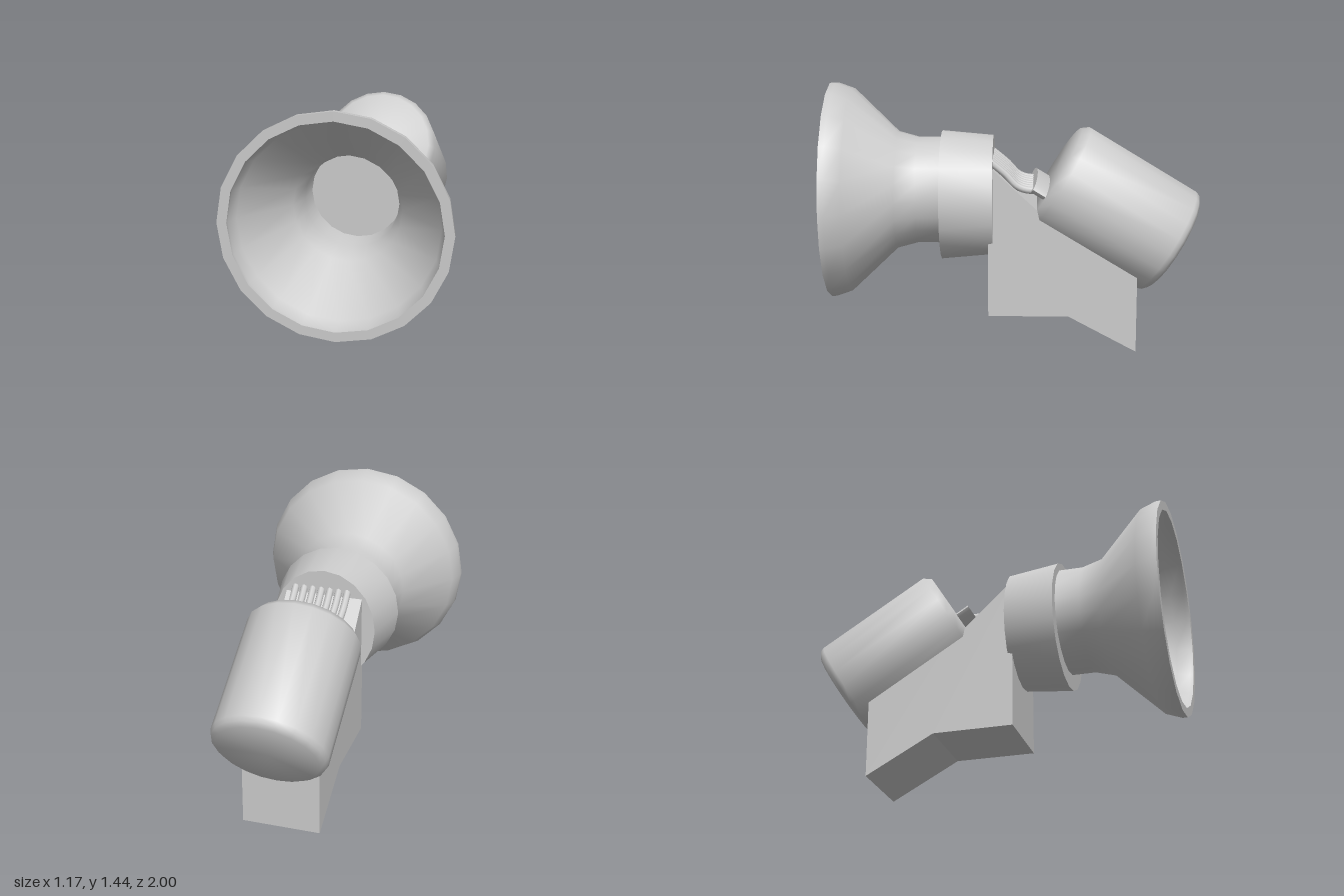
import * as THREE from 'three';
import { toCreasedNormals } from 'three/addons/utils/BufferGeometryUtils.js';

const SIDES = 20;
const material = new THREE.MeshStandardMaterial({ color: 0xcccccc });

function part(name, geometry, parent) {
  const mesh = new THREE.Mesh(geometry, material);
  mesh.name = name;
  parent.add(mesh);
  return mesh;
}

// Turned shape from [radius, height] pairs, smooth except at sharp edges
function turned(profile) {
  const points = profile.map(([r, h]) => new THREE.Vector2(r, h));
  return toCreasedNormals(new THREE.LatheGeometry(points, SIDES), 0.96);
}

export function createModel() {
  const model = new THREE.Group();
  model.name = 'hornLamp';

  // Flared horn: outer wall forward, rim, then inner wall back
  const horn = part('horn', turned([
    [0.29, 0.38], [0.29, 0.53], [0.32, 0.64], [0.555, 0.885], [0.585, 0.97], [0.587, 1],
    [0.537, 1], [0.535, 0.98], [0.51, 0.91], [0.28, 0.67], [0.245, 0.55], [0.24, 0.38],
  ]), model);
  horn.rotation.x = Math.PI / 2;
  horn.position.y = 0.856;

  // Tapered collar, narrower across at the back
  const collarGeometry = new THREE.CylinderGeometry(0.352, 0.33, 0.28, SIDES);
  const p = collarGeometry.attributes.position;
  for (let i = 0; i < p.count; i++) {
    if (p.getY(i) < 0) p.setX(i, p.getX(i) * 0.88);
  }
  const collar = part('collar', toCreasedNormals(collarGeometry, 0.8), model);
  collar.rotation.x = Math.PI / 2;
  collar.position.set(0, 0.829, 0.26);

  // Bracket: side outline in (z, y), extruded across x
  const outline = new THREE.Shape([
    [0.145, 0.2], [0.145, 1.04], [-0.12, 0.795], [-0.2, 0.75],
    [-0.66, 0.5], [-0.66, 0], [-0.29, 0.2],
  ].map(([z, y]) => new THREE.Vector2(z, y)));
  const bracketGeometry = new THREE.ExtrudeGeometry(outline, { depth: 0.43, bevelEnabled: false });
  bracketGeometry.translate(0, 0, -0.215).rotateY(-Math.PI / 2);
  part('bracket', bracketGeometry, model);

  // Tilted rear housing; local y runs down its axis to the rear
  const rear = new THREE.Group();
  rear.name = 'rearHousing';
  rear.rotation.x = -2.118;
  model.add(rear);
  const barrel = part('barrel', turned([
    [0, -0.315], [0.283, -0.315], [0.313, -0.275], [0.313, 0.4],
    [0.304, 0.425], [0.275, 0.445], [0, 0.445],
  ]), rear);
  barrel.position.z = 0.925;

  // Flat connector on the front of the barrel
  const connector = part('connector',
    toCreasedNormals(new THREE.CylinderGeometry(0.23, 0.23, 0.085, SIDES).scale(1, 1, 0.2), 0.8), rear);
  connector.position.set(0, -0.35, 0.83);

  // Row of cables from the collar to the connector
  const cables = new THREE.Group();
  cables.name = 'cables';
  model.add(cables);
  for (let i = 0; i < 7; i++) {
    const x = -0.13 + i * 0.049;
    const path = new THREE.CatmullRomCurve3([
      [0, 1.055, 0.14], [0, 0.98, 0.05], [0.01, 0.92, -0.01], [0.01, 0.9, -0.06], [0.005, 0.895, -0.12],
    ].map(([dx, y, z]) => new THREE.Vector3(x + dx, y, z)));
    part('cable', new THREE.TubeGeometry(path, 16, 0.02, 8), cables);
  }

  return model;
}
